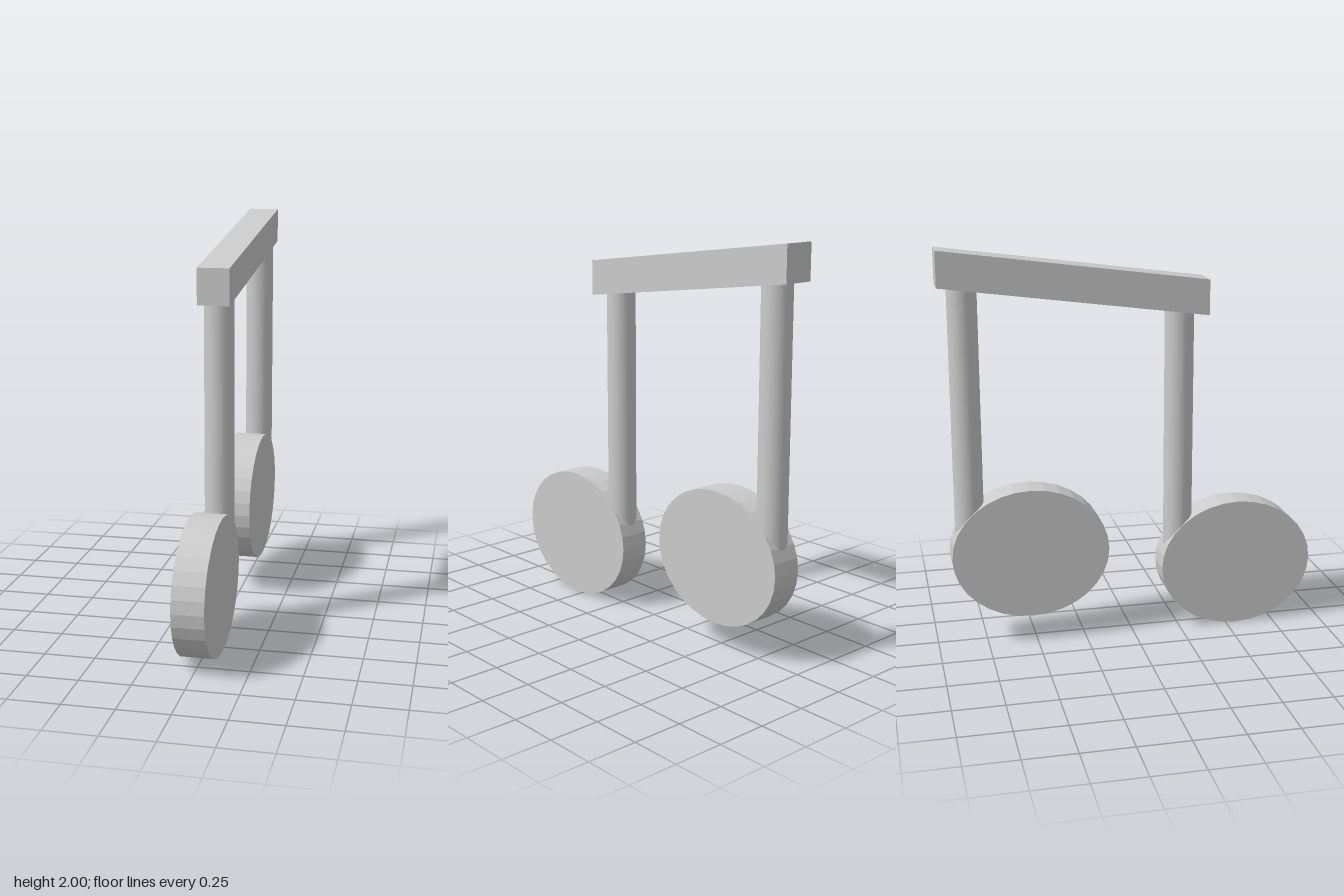
import * as THREE from 'three';

const WIDTH = 0.156;

export function createModel() {
  const model = new THREE.Group();
  const flat = new THREE.MeshStandardMaterial({ color: 0xcccccc, flatShading: true });
  const smooth = new THREE.MeshStandardMaterial({ color: 0xcccccc });

  const add = (name, geometry, material, y = 0, z = 0) => {
    const mesh = new THREE.Mesh(geometry, material);
    mesh.name = name;
    mesh.position.set(0, y, z);
    model.add(mesh);
  };

  // Oval note heads: faceted discs lying across x
  const head = new THREE.CylinderGeometry(1, 1, WIDTH, 32)
    .rotateZ(Math.PI / 2)
    .scale(1, 0.334, 0.397);
  add('frontNoteHead', head, flat, 0.334, 0.55);
  add('backNoteHead', head, flat, 0.469, -0.522);

  // Round stems, sunk into the heads and the beam
  const addStem = (name, bottom, top, z) =>
    add(name, new THREE.CylinderGeometry(0.073, 0.073, top - bottom, 32), smooth, (bottom + top) / 2, z);
  addStem('frontStem', 0.36, 1.72, 0.25);
  addStem('backStem', 0.5, 1.87, -0.821);

  // Slanted beam: a box sheared upwards to the back, with upright ends
  const length = 1.328;
  const beam = new THREE.BoxGeometry(WIDTH, 0.176, length);
  const p = beam.attributes.position;
  for (let i = 0; i < p.count; i++) p.setY(i, p.getY(i) - (p.getZ(i) / length) * 0.178);
  beam.computeVertexNormals();
  add('beam', beam, flat, 1.823, -0.28);

  return model;
}
